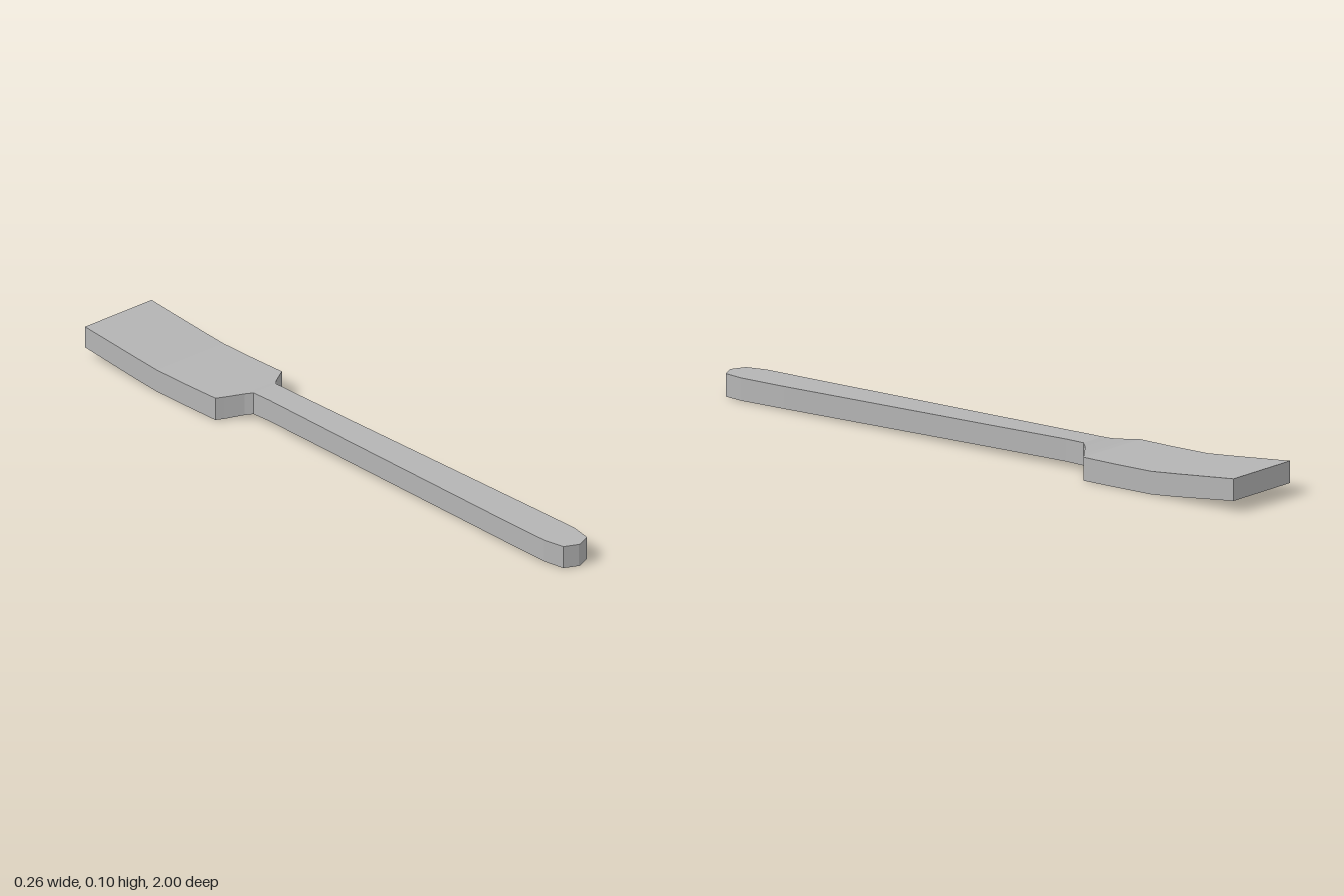
import * as THREE from 'three';

// Cross-sections along the length: z, half width, bottom y, top y
const HANDLE = [
  [1.0, 0.004, 0, 0.07],
  [0.98, 0.047, 0, 0.07],
  [0.91, 0.061, 0.002, 0.071],
  [0.75, 0.06, 0.004, 0.072],
  [0, 0.049, 0.014, 0.081],
  [-0.3, 0.044, 0.017, 0.085],
  [-0.365, 0.045, 0.016, 0.085],
];
const BLADE = [
  [-0.365, 0.045, 0.016, 0.085],
  [-0.385, 0.062, 0.011, 0.08],
  [-0.42, 0.11, 0.002, 0.073],
  [-0.435, 0.132, 0, 0.071],
  [-0.56, 0.132, 0, 0.07],
  [-0.69, 0.132, 0.001, 0.071],
  [-0.78, 0.132, 0.009, 0.079],
  [-1.0, 0.132, 0.033, 0.1],
];

// Skin rectangular sections into a flat-faced bar, with optional end caps
function loft(sections, capFront, capBack) {
  const pos = [];
  const rings = sections.map(([z, w, b, t]) => [[-w, b, z], [w, b, z], [w, t, z], [-w, t, z]]);
  const quad = (a, b, c, d) => pos.push(...a, ...b, ...c, ...a, ...c, ...d);
  for (let i = 0; i < rings.length - 1; i++) {
    const p = rings[i], q = rings[i + 1];
    for (let k = 0; k < 4; k++) {
      const n = (k + 1) % 4;
      quad(p[k], q[k], q[n], p[n]);
    }
  }
  if (capFront) quad(...rings[0]);
  if (capBack) quad(...rings[rings.length - 1].slice().reverse());
  const geo = new THREE.BufferGeometry();
  geo.setAttribute('position', new THREE.Float32BufferAttribute(pos, 3));
  geo.computeVertexNormals();
  return geo;
}

export function createModel() {
  const group = new THREE.Group();
  group.name = 'spatula';
  const grey = new THREE.MeshStandardMaterial({ color: 0xb4b4b4 });
  grey.name = 'grey';

  const add = (name, geo) => {
    const mesh = new THREE.Mesh(geo, grey);
    mesh.name = name;
    group.add(mesh);
  };

  // Long tapered handle with a blunt rounded tip
  add('handle', loft(HANDLE, true, false));
  // Flared shoulders and flat blade, turned up at its end
  add('blade', loft(BLADE, false, true));
  return group;
}
